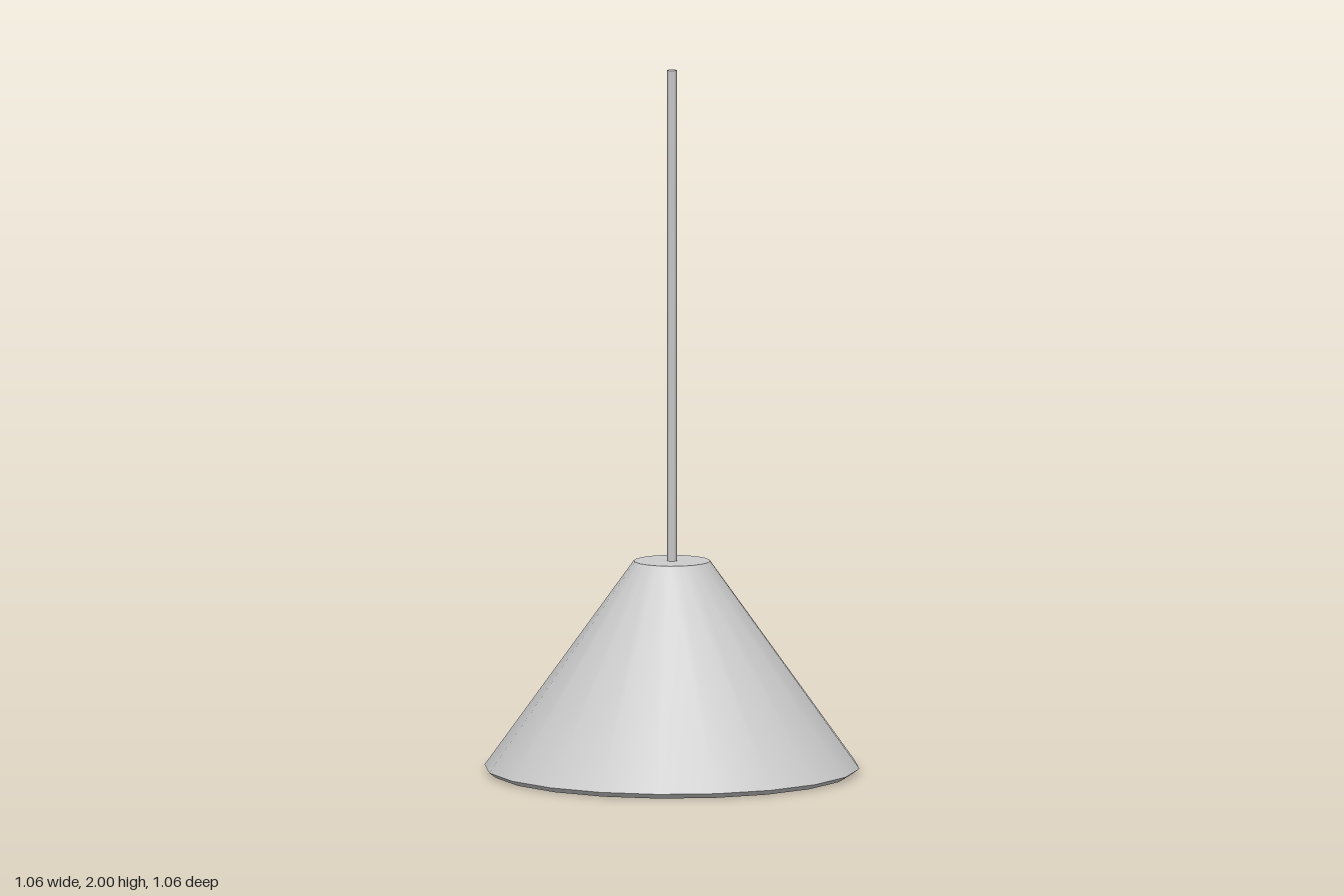
import * as THREE from 'three';
import { toCreasedNormals } from 'three/addons/utils/BufferGeometryUtils.js';

export function createModel() {
  const group = new THREE.Group();
  const material = new THREE.MeshStandardMaterial({ color: 0xcccccc });

  function add(name, geometry, y) {
    const mesh = new THREE.Mesh(geometry, material);
    mesh.name = name;
    mesh.position.y = y;
    group.add(mesh);
    return mesh;
  }

  // Conical shade: inner wall down, bevelled rim, outer wall up, flat cap
  const profile = [
    [0, 0.58], [0.094, 0.58], [0.509, 0], [0.53, 0.015], [0.108, 0.602], [0, 0.602],
  ].map(([r, y]) => new THREE.Vector2(r, y));
  add('shade', toCreasedNormals(new THREE.LatheGeometry(profile, 20), 0.6), 0);

  // Hexagonal hanging rod, corners pointing to the sides
  const rod = add('rod', new THREE.CylinderGeometry(0.0145, 0.0145, 1.4, 6), 1.3);
  rod.rotation.y = Math.PI / 6;

  // Bulb and its holder inside the shade
  add('bulbHolder', new THREE.CylinderGeometry(0.045, 0.045, 0.14, 16), 0.52);
  add('bulb', new THREE.SphereGeometry(0.12, 20, 14), 0.355);

  return group;
}
